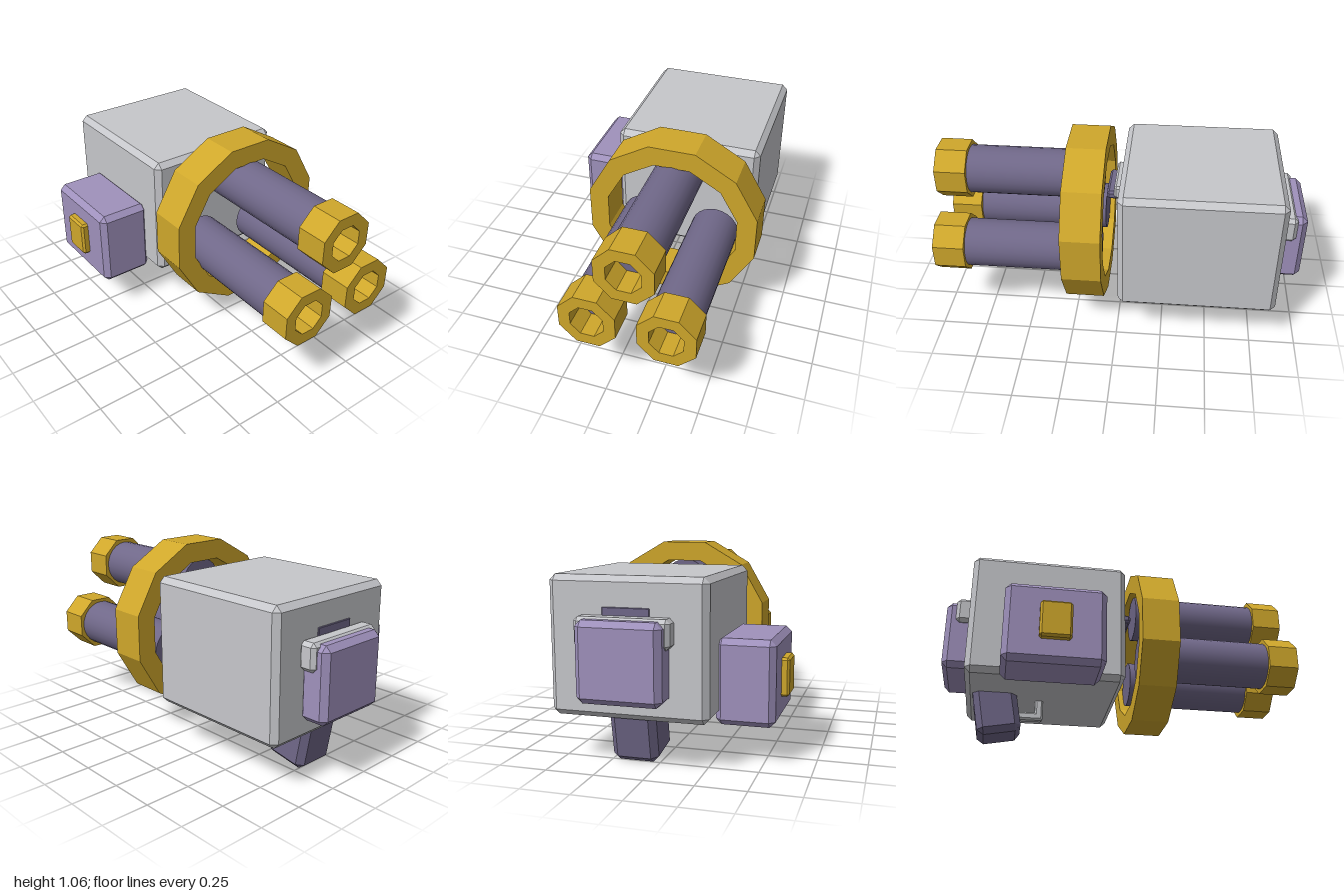
import * as THREE from 'three';
import { ConvexGeometry } from 'three/addons/geometries/ConvexGeometry.js';

const mat = (name, color, flatShading = true) => {
  const m = new THREE.MeshStandardMaterial({ color });
  m.name = name;
  m.flatShading = flatShading;
  return m;
};

// Box with chamfered edges, given as min and max per axis, centred on its own origin
function chamferBox(w, h, d, c) {
  const pts = [];
  for (const sx of [-1, 1]) for (const sy of [-1, 1]) for (const sz of [-1, 1]) {
    const x = w / 2, y = h / 2, z = d / 2;
    pts.push(new THREE.Vector3(sx * x, sy * (y - c), sz * (z - c)));
    pts.push(new THREE.Vector3(sx * (x - c), sy * y, sz * (z - c)));
    pts.push(new THREE.Vector3(sx * (x - c), sy * (y - c), sz * z));
  }
  return new ConvexGeometry(pts);
}

// Flat-topped polygonal ring extruded along z
function polyRing(outer, inner, sides, depth) {
  const poly = (r) => Array.from({ length: sides }, (_, i) => {
    const a = ((i + 0.5) / sides) * Math.PI * 2;
    return new THREE.Vector2(Math.cos(a) * r, Math.sin(a) * r);
  });
  const shape = new THREE.Shape(poly(outer));
  shape.holes.push(new THREE.Path(poly(inner).reverse()));
  return new THREE.ExtrudeGeometry(shape, { depth, bevelEnabled: false });
}

export function createModel() {
  const group = new THREE.Group();
  const grey = mat('light grey', 0xc6c7cb);
  const lilac = mat('lilac', 0x9f91bc);
  const violet = mat('dark violet', 0x706889);
  const violetSmooth = violet.clone();
  violetSmooth.flatShading = false;
  const gold = mat('gold', 0xcfa72b);

  const add = (name, geometry, material, x = 0, y = 0, z = 0) => {
    const m = new THREE.Mesh(geometry, material);
    m.name = name;
    m.position.set(x, y, z);
    group.add(m);
    return m;
  };
  const box = (name, material, [x0, x1], [y0, y1], [z0, z1], c) =>
    add(name, chamferBox(x1 - x0, y1 - y0, z1 - z0, c), material,
      (x0 + x1) / 2, (y0 + y1) / 2, (z0 + z1) / 2);

  const cx = 0.125, cy = 0.59;

  // Main housing and side magazine
  box('body', grey, [-0.28, 0.53], [0.24, 0.94], [-0.865, -0.01], 0.03);
  box('magazine', lilac, [-0.56, -0.26], [0.195, 0.63], [-0.68, -0.155], 0.03);
  box('magazineButton', gold, [-0.6, -0.54], [0.315, 0.515], [-0.5, -0.335], 0.012);

  // Barrel clamp ring
  add('clampRing', polyRing(0.487, 0.376, 12, 0.21), gold, cx, cy, 0.07);

  // Three barrels with octagonal muzzles
  const barrelGeo = new THREE.CylinderGeometry(0.133, 0.133, 0.76, 24).rotateX(Math.PI / 2);
  const muzzleGeo = polyRing(0.162, 0.095, 8, 0.17);
  for (let i = 0; i < 3; i++) {
    const a = Math.PI / 2 + (i * Math.PI * 2) / 3;
    const x = cx + Math.cos(a) * 0.236, y = cy + Math.sin(a) * 0.236;
    add('barrel', barrelGeo, violetSmooth, x, y, 0.48);
    add('muzzle', muzzleGeo, gold, x, y, 0.83);
  }

  // Front sight
  box('frontSightBase', grey, [-0.01, 0.26], [0.76, 0.835], [-0.03, 0.03], 0.012);
  box('frontSightBlade', violet, [0.01, 0.245], [0.745, 0.793], [-0.03, 0.07], 0.012);

  // Rear cover with its bracket and slot
  box('rearCover', lilac, [-0.09, 0.34], [0.34, 0.74], [-1, -0.84], 0.03);
  box('rearBracketBar', grey, [-0.115, 0.365], [0.69, 0.75], [-0.945, -0.85], 0.02);
  for (const s of [-1, 1]) {
    const x = cx + s * 0.215;
    box('rearBracketTab', grey, [x - 0.025, x + 0.025], [0.605, 0.75], [-0.945, -0.85], 0.02);
  }
  box('rearSlot', violet, [0.005, 0.245], [0.72, 0.79], [-0.872, -0.85], 0.003);

  // Tilted grip and trigger guard
  const grip = add('grip', chamferBox(0.24, 0.4, 0.24, 0.033), violet, cx, 0.213, -0.695);
  grip.rotation.x = -0.18;
  box('triggerGuardPost', grey, [0.1, 0.15], [0.125, 0.26], [-0.47, -0.425], 0.01);
  box('triggerGuardBar', grey, [0.1, 0.15], [0.125, 0.17], [-0.6, -0.425], 0.01);

  return group;
}
